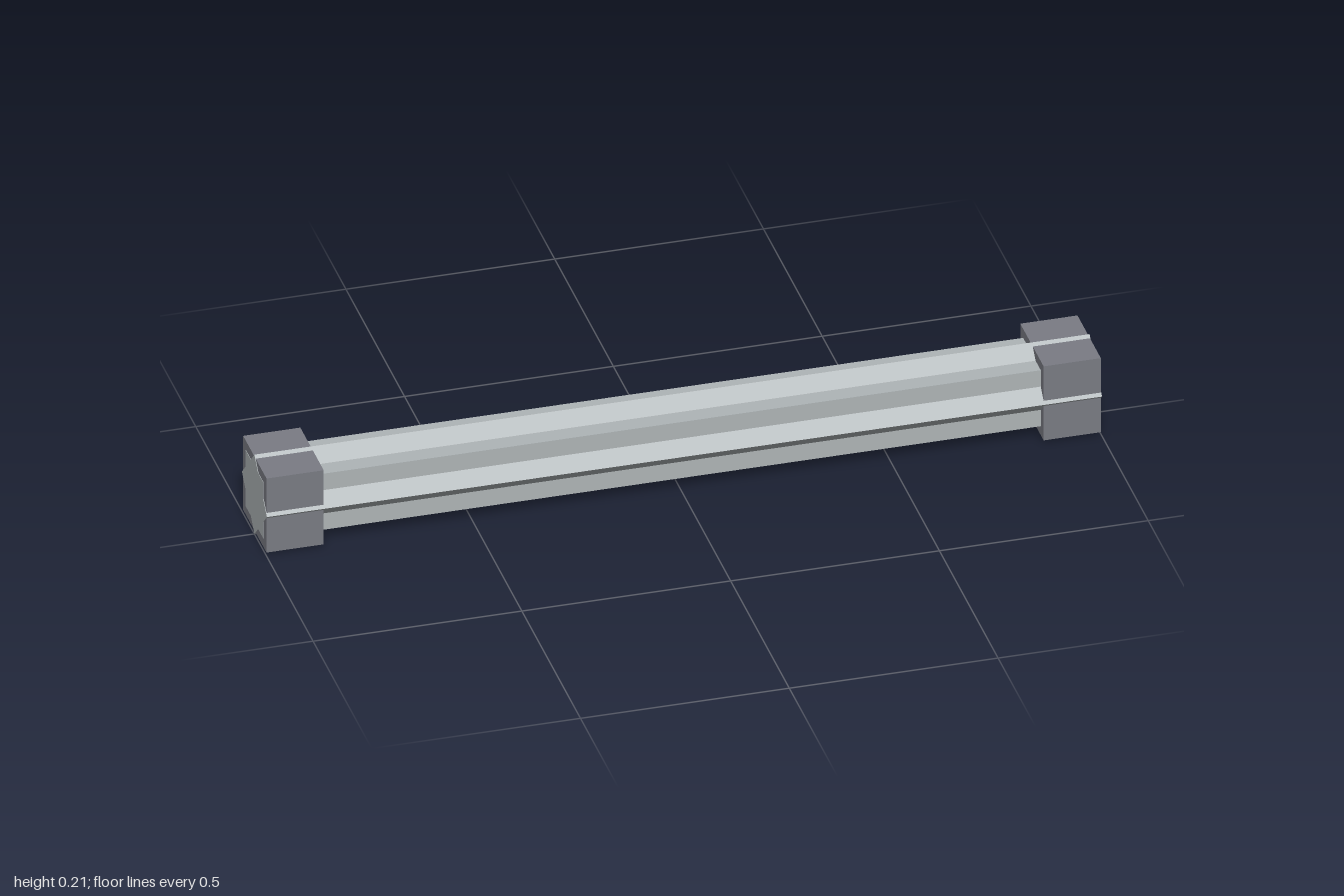
import * as THREE from 'three';

export function createModel() {
  const model = new THREE.Group();
  model.name = 'starBeam';

  const lightSteel = new THREE.MeshStandardMaterial({ name: 'light steel', color: 0xafb5b7 });
  const darkSteel = new THREE.MeshStandardMaterial({ name: 'dark steel', color: 0x7a7c84 });

  const tipRadius = 0.1065; // half diagonal of each of the two crossed squares
  const notchRadius = (tipRadius * Math.SQRT1_2) / Math.cos(Math.PI / 8);
  const centreY = tipRadius;

  // Eight-pointed star bar running the full length
  const points = [];
  for (let i = 0; i < 16; i++) {
    const r = i % 2 ? notchRadius : tipRadius;
    const a = (i * Math.PI) / 8;
    points.push(new THREE.Vector2(r * Math.cos(a), r * Math.sin(a)));
  }
  const barGeometry = new THREE.ExtrudeGeometry(new THREE.Shape(points), { depth: 2, bevelEnabled: false });
  barGeometry.translate(0, 0, -1).rotateY(Math.PI / 2);
  const bar = new THREE.Mesh(barGeometry, lightSteel);
  bar.name = 'starBar';
  bar.position.y = centreY;
  model.add(bar);

  // Square end blocks, set back a hair so the star shows on the end faces
  const blockGeometry = new THREE.BoxGeometry(0.137, 0.199, 0.199);
  for (const side of [-1, 1]) {
    const block = new THREE.Mesh(blockGeometry, darkSteel);
    block.name = side > 0 ? 'leftEndBlock' : 'rightEndBlock';
    block.position.set(side * 0.9305, centreY, 0);
    model.add(block);
  }

  return model;
}
